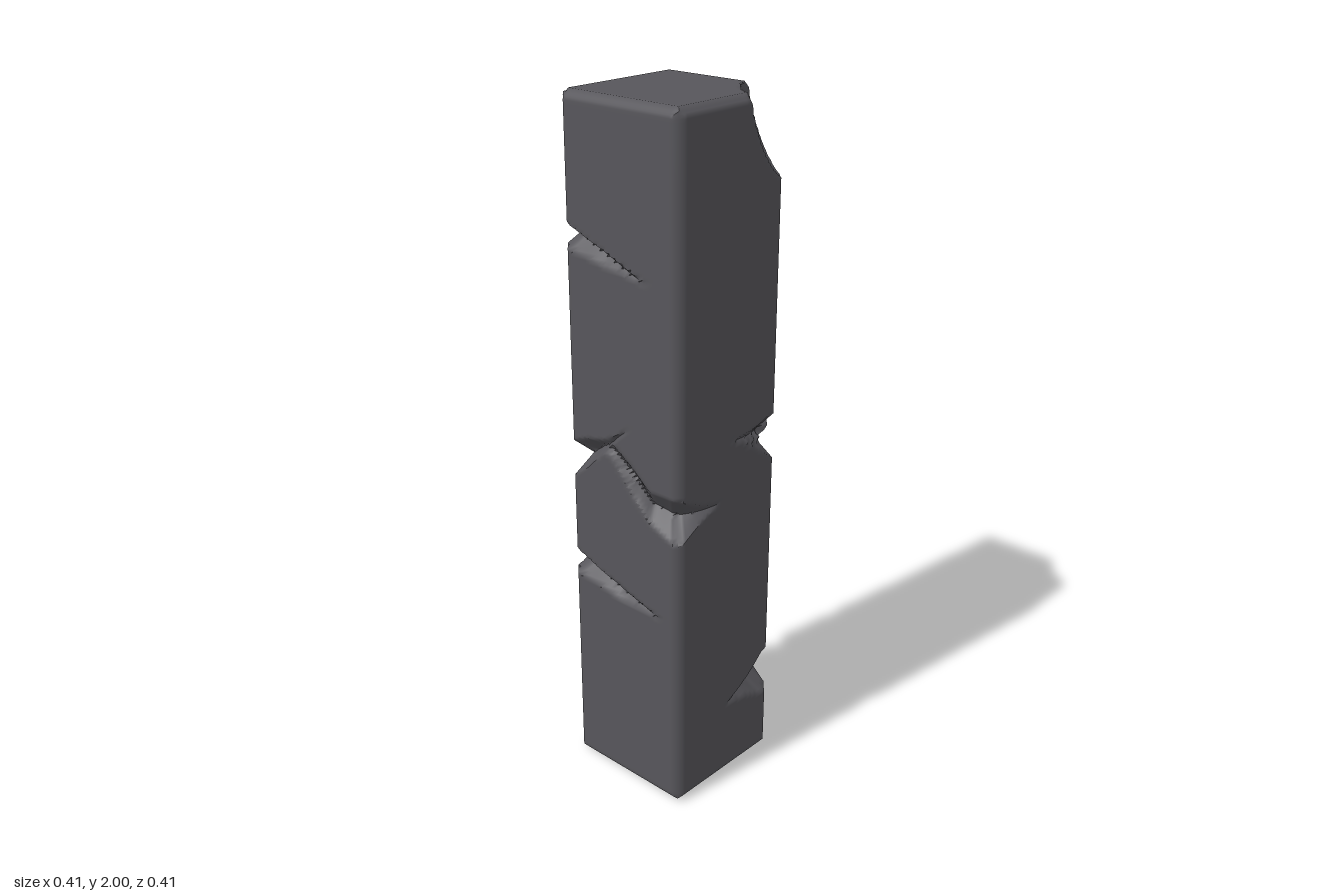
import * as THREE from 'three';
import { toCreasedNormals } from 'three/addons/utils/BufferGeometryUtils.js';

const HALF = 0.205, HEIGHT = 2, BEVEL = 0.02, COLS = 36, ROWS = 220;
const STEP = HEIGHT / ROWS;

// A crack follows a path of (u, y) points; u counts faces round the shaft:
// 0-1 front, 1-2 left side (+x), 2-3 back, 3-4 right side (-x).
const crack = (above, below, depth, ...path) => ({
  above, below, depth, path: path.map(([u, y]) => new THREE.Vector2(u, y)),
});
const arch = crack(0.055, 0.05, 0.042,
  [0.5, 1.09], [0.8, 1.07], [1, 1.06], [1.2, 1.2], [1.5, 1.28], [1.8, 1.32], [2, 1.32], [2.37, 1.3]);
const belt = crack(0.04, 0.07, 0.043,
  [0.65, 1.06], [1, 1.03], [1.25, 1.03], [1.5, 0.99], [2, 0.945], [3, 1], [3.35, 1.07], [3.57, 1.14]);
const wedge = crack(0.07, 0.065, 0.05, [3.2, 1.05], [3.4, 1.06], [3.75, 0.93], [4, 0.91], [4.42, 0.92]);
const diagonal = crack(0.09, 0.07, 0.05,
  [0.5, 0.24], [1, 0.27], [1.25, 0.34], [1.5, 0.42], [2, 0.535], [2.4, 0.76], [3.1, 1.03]);
const lowRear = crack(0.04, 0.04, 0.04, [2.4, 0.75], [2.6, 0.71], [3, 0.67], [3.5, 0.62], [3.85, 0.6]);
const highRear = crack(0.03, 0.04, 0.035, [2.39, 1.64], [2.75, 1.655], [3, 1.635], [3.75, 1.55]);
const cracks = [arch, belt, wedge, diagonal, lowRear, highRear];

// Cross-section of a crack at u: widest at the shaft's edges, closing at its ends
function section({ above, below, depth, path }, u) {
  const i = path.findIndex((p) => p.x >= u);
  if (i < 1) return [];
  const a = path[i - 1], b = path[i];
  const floor = THREE.MathUtils.mapLinear(u, a.x, b.x, a.y, b.y);
  const toEnd = Math.min(u - path[0].x, path[path.length - 1].x - u);
  const size = Math.min(1, toEnd / 0.4) * (0.65 + 0.35 * Math.cos(Math.PI * u) ** 4);
  const width = Math.max(size, 0.1);
  return [{ floor, above: above * width, below: below * width, depth: depth * size }];
}

// Position round the shaft, in faces
function around(x, z) {
  const f = (v) => v / (2 * HALF) + 0.5, e = 1e-5;
  if (z > HALF - e) return f(x);
  if (x > HALF - e) return 1 + f(-z);
  if (z < -HALF + e) return 2 + f(-x);
  return 3 + f(z);
}

// Keep the outer column for the bevel
function spread(v) {
  const inner = 0.5 - 1 / COLS;
  return Math.abs(v) > inner + 1e-4 ? Math.sign(v) * HALF : (v / inner) * (HALF - BEVEL);
}

// Bevel the edge between two axes
function bevel(p, i, j, hi, hj) {
  const excess = Math.abs(p[i]) - hi + Math.abs(p[j]) - hj + BEVEL;
  if (excess <= 0) return;
  p[i] -= Math.sign(p[i]) * excess / 2;
  p[j] -= Math.sign(p[j]) * excess / 2;
}

// Broken corner: push points along its diagonal onto a hollow
function chipCorner(p) {
  const size = [0.145, 0.235, 0.13];
  const q = [HALF - p[0], HEIGHT - p[1], HALF - p[2]].map((v, i) => Math.max(v, 0) / size[i]);
  const norm = (t) => q.reduce((s, v) => s + (v + t) ** 1.5, 0);
  if (norm(0) >= 1) return;
  let lo = 0, hi = 1;
  for (let i = 0; i < 24; i++) {
    const mid = (lo + hi) / 2;
    if (norm(mid) < 1) lo = mid; else hi = mid;
  }
  size.forEach((s, i) => { p[i] -= lo * s; });
}

export function createModel() {
  const group = new THREE.Group();
  group.name = 'crackedPillar';
  const stone = new THREE.MeshStandardMaterial({ color: 0x57565b });
  stone.name = 'dark stone';

  const box = new THREE.BoxGeometry(1, 1, 1, COLS, ROWS, COLS);
  const pos = box.attributes.position;
  for (let i = 0; i < pos.count; i++) {
    const x = spread(pos.getX(i)), z = spread(pos.getZ(i));
    const row = (pos.getY(i) + 0.5) * HEIGHT;
    let y = row, depth = 0;
    if (row > 0.05 && row < HEIGHT - 0.05) {
      const u = around(x, z);
      const cuts = cracks.flatMap((c) => [...section(c, u), ...section(c, u + 4)]);
      // line rows up with the crack edges and floors
      for (const { floor, above, below } of cuts) {
        for (const edge of [floor + above, floor - below, floor]) {
          if (Math.abs(edge - row) <= STEP * 0.48) y = edge;
        }
      }
      for (const c of cuts) {
        const s = y > c.floor ? (y - c.floor) / c.above : (c.floor - y) / c.below;
        depth = Math.max(depth, c.depth * (1 - s));
      }
    }
    const p = [x, y - HEIGHT / 2, z];
    bevel(p, 0, 2, HALF, HALF);
    bevel(p, 0, 1, HALF, HEIGHT / 2);
    bevel(p, 2, 1, HALF, HEIGHT / 2);
    p[1] += HEIGHT / 2;
    const shrink = 1 - depth / HALF;
    p[0] *= shrink;
    p[2] *= shrink;
    chipCorner(p);
    pos.setXYZ(i, ...p);
  }

  // enlarged while finding creases so that close points stay distinct
  box.scale(100, 100, 100);
  const geometry = toCreasedNormals(box, 0.85);
  geometry.scale(0.01, 0.01, 0.01);

  const shaft = new THREE.Mesh(geometry, stone);
  shaft.name = 'stoneShaft';
  group.add(shaft);
  return group;
}
